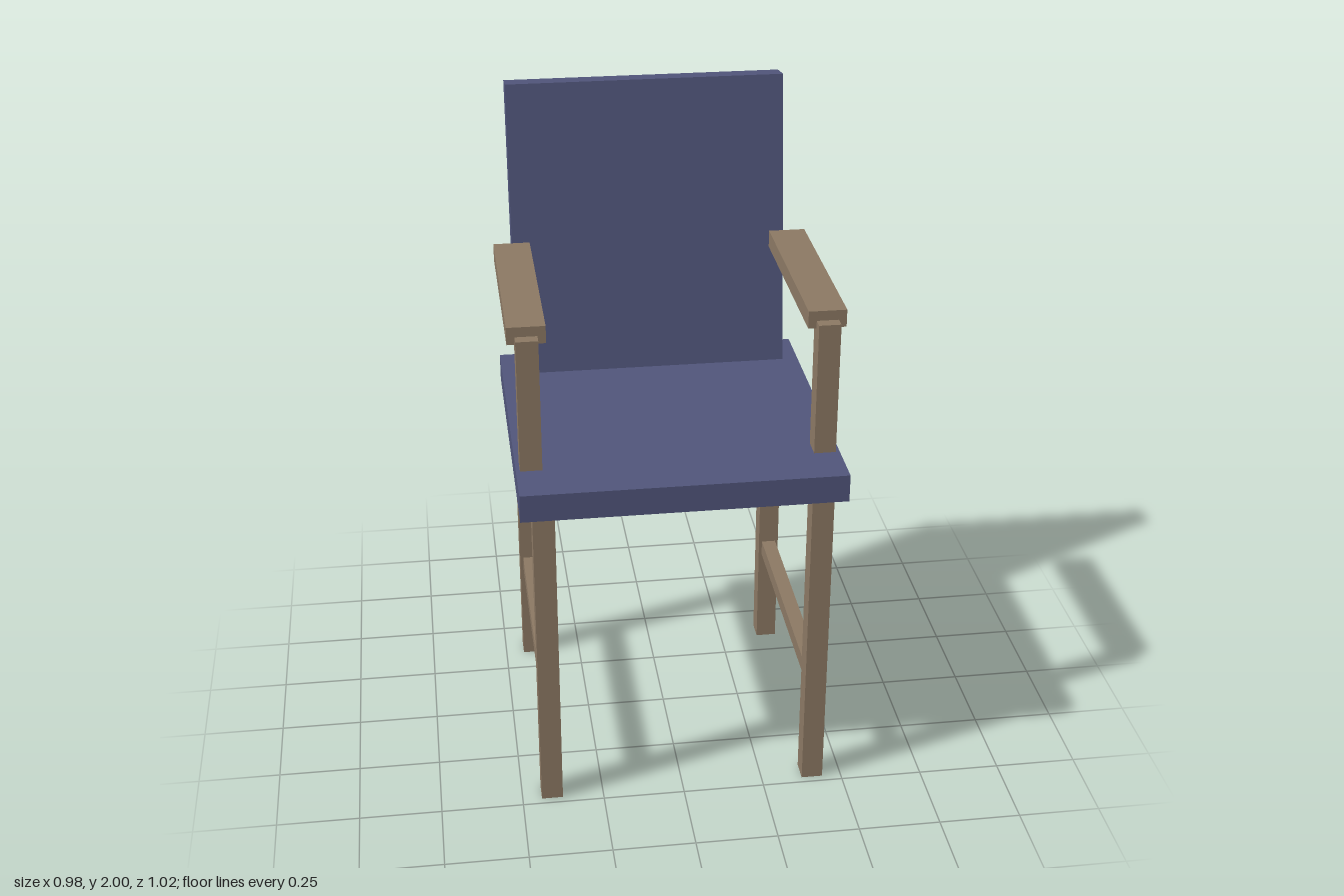
import * as THREE from 'three';

export function createModel() {
  const model = new THREE.Group();
  model.name = 'armchair';
  const wood = new THREE.MeshStandardMaterial({ color: 0x8b7863 });
  const fabric = new THREE.MeshStandardMaterial({ color: 0x50557a });

  // Box given by its [min, max] extent on each axis
  function block(name, material, [x0, x1], [y0, y1], [z0, z1]) {
    const mesh = new THREE.Mesh(new THREE.BoxGeometry(x1 - x0, y1 - y0, z1 - z0), material);
    mesh.position.set((x0 + x1) / 2, (y0 + y1) / 2, (z0 + z1) / 2);
    mesh.name = name;
    model.add(mesh);
  }

  // Seat slab
  block('seat', fabric, [-0.477, 0.477], [1.005, 1.09], [-0.443, 0.51]);

  // Reclined backrest, pivoting on its front top edge and sunk into the seat
  const length = 0.93, thickness = 0.087;
  const panel = new THREE.BoxGeometry(0.857, length, thickness);
  panel.translate(0, -length / 2, -thickness / 2);
  const backrest = new THREE.Mesh(panel, fabric);
  backrest.name = 'backrest';
  backrest.position.set(0, 2, -0.422);
  backrest.rotation.x = -0.141;
  model.add(backrest);

  // Legs, stretchers and arms, mirrored left and right
  for (const [side, s] of [['left', 1], ['right', -1]]) {
    const span = (a, b) => (s > 0 ? [a, b] : [-b, -a]);
    block(side + 'FrontLeg', wood, span(0.376, 0.441), [0, 1.005], [0.411, 0.477]);
    block(side + 'BackLeg', wood, span(0.376, 0.441), [0, 1.005], [-0.407, -0.341]);
    block(side + 'Stretcher', wood, span(0.386, 0.431), [0.33, 0.38], [-0.341, 0.411]);
    block(side + 'ArmPost', wood, span(0.4, 0.465), [1.09, 1.5], [0.296, 0.362]);
    block(side + 'Armrest', wood, span(0.376, 0.488), [1.477, 1.53], [-0.308, 0.327]);
  }

  return model;
}
